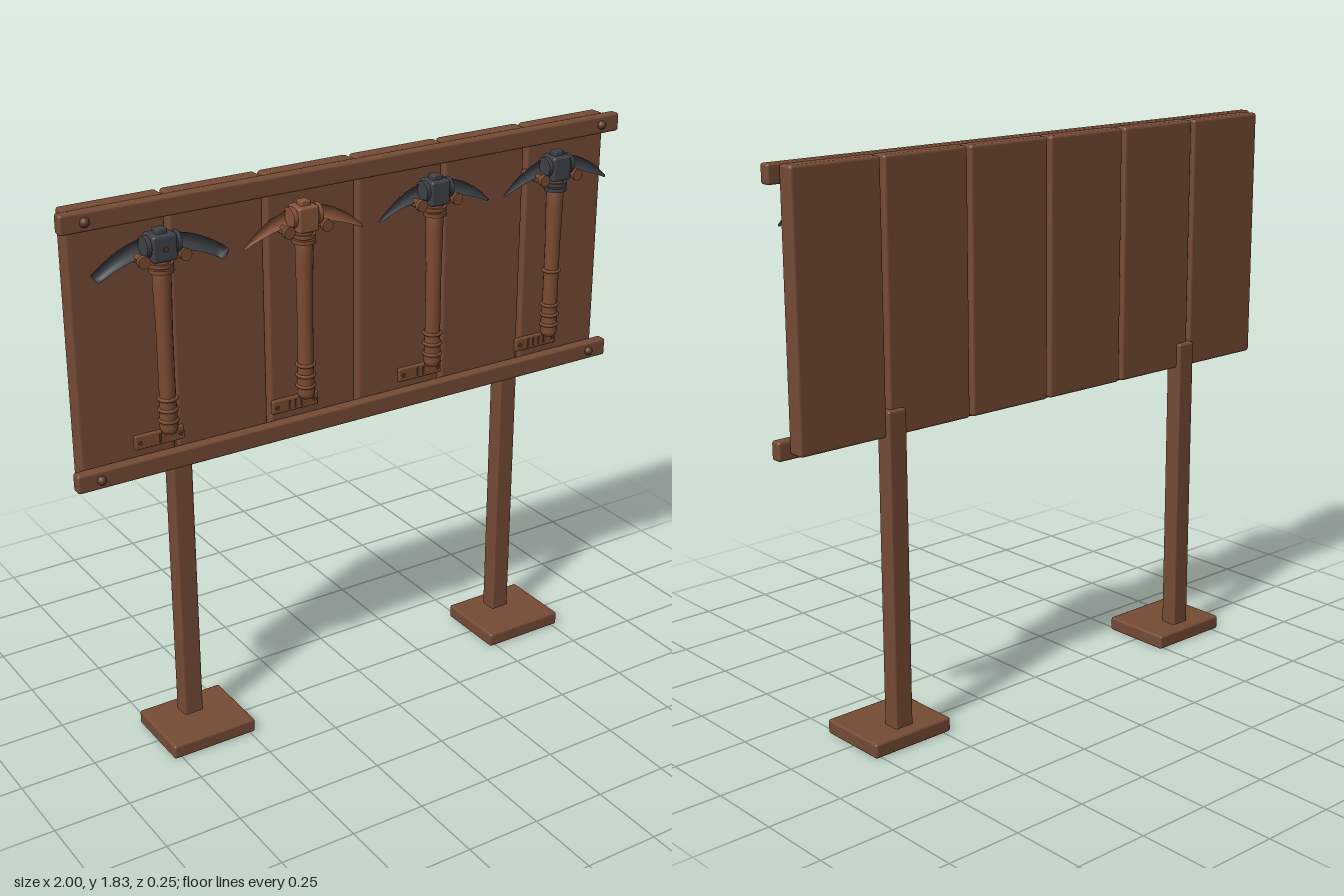
import * as THREE from 'three';
import { RoundedBoxGeometry } from 'three/addons/geometries/RoundedBoxGeometry.js';

const mat = (name, color) => {
  const m = new THREE.MeshStandardMaterial({ color });
  m.name = name;
  return m;
};

export function createModel() {
  const wood = mat('board wood', 0x754b36);
  const handleWood = mat('handle wood', 0x7a4a32);
  const copper = mat('copper brown', 0x87533a);
  const steel = mat('dark steel', 0x3e4147);
  const bolt = mat('bolt brown', 0x5c3b2b);

  const root = new THREE.Group();
  root.name = 'toolRack';

  const add = (parent, name, geo, material, x = 0, y = 0, z = 0) => {
    const m = new THREE.Mesh(geo, material);
    m.name = name;
    m.position.set(x, y, z);
    parent.add(m);
    return m;
  };
  // Softly bevelled box
  const box = (w, h, d, r = 0.008) => new RoundedBoxGeometry(w, h, d, 2, r);
  // Cylinder lying along z
  const pin = (r, len, sides = 12) => new THREE.CylinderGeometry(r, r, len, sides).rotateX(Math.PI / 2);

  // Six upright planks
  for (let i = 0; i < 6; i++) {
    add(root, 'plank', box(0.313, 0.84, 0.058, 0.01), wood, (i - 2.5) * 0.3245 - 0.003, 1.41, -0.034);
  }

  // Top and bottom rails with a domed bolt at each end
  for (const y of [1.802, 1.002]) {
    add(root, 'rail', box(2, 0.06, 0.038), wood, 0, y, 0.014);
    for (const s of [-1, 1]) {
      add(root, 'railBolt', new THREE.SphereGeometry(0.015, 12, 8), bolt, s * 0.925, y, 0.034);
    }
  }

  // Posts and feet
  for (const s of [-1, 1]) {
    const x = s * 0.626 - 0.003;
    add(root, 'post', box(0.068, 1.04, 0.06), wood, x, 0.555, -0.049);
    add(root, 'foot', box(0.295, 0.048, 0.25), wood, x, 0.024, 0);
  }

  // Curved, tapering pick head swept along x as one closed loop body
  const pickHead = (half, drop, hCenter, hTip, dCenter, dTip) => {
    const n = 24, sides = 10, pos = [], idx = [];
    for (let i = 0; i <= n; i++) {
      const u = (i / n) * 2 - 1, a = Math.abs(u);
      const h = THREE.MathUtils.lerp(hCenter, hTip, a * a);
      const d = THREE.MathUtils.lerp(dCenter, dTip, a);
      const slope = Math.atan(-2 * u * drop / half);
      for (let j = 0; j < sides; j++) {
        const t = (j / sides) * Math.PI * 2;
        const c = Math.cos(t) * h;
        pos.push(u * half - Math.sin(slope) * c, -drop * u * u + Math.cos(slope) * c, Math.sin(t) * d);
      }
    }
    for (let i = 0; i < n; i++) {
      for (let j = 0; j < sides; j++) {
        const k = (j + 1) % sides;
        const a = i * sides + j, b = i * sides + k, c = a + sides, d = b + sides;
        idx.push(a, c, b, b, c, d);
      }
    }
    for (let j = 1; j < sides - 1; j++) {
      const e = n * sides;
      idx.push(0, j, j + 1, e, e + j + 1, e + j);
    }
    const g = new THREE.BufferGeometry();
    g.setAttribute('position', new THREE.Float32BufferAttribute(pos, 3));
    g.setIndex(idx);
    g.computeVertexNormals();
    return g;
  };

  // Four pickaxes, each on two pegs above a marked plate
  const picks = [
    { x: -0.715, head: steel, block: 0.078, heavy: true, ticks: 1 },
    { x: -0.24, head: copper, block: 0.07, heavy: false, ticks: 3 },
    { x: 0.235, head: steel, block: 0.07, heavy: false, ticks: 2 },
    { x: 0.711, head: steel, block: 0.07, heavy: false, ticks: 4 },
  ];
  picks.forEach((p, index) => {
    const g = new THREE.Group();
    g.name = 'pickaxe';
    g.position.set(p.x, 0, 0.073);
    root.add(g);

    // Handle with a gentle swell
    const profile = [[0, 1.125], [0.024, 1.125], [0.028, 1.14], [0.025, 1.25], [0.025, 1.45], [0.028, 1.58], [0.028, 1.70], [0, 1.70]];
    add(g, 'handle', new THREE.LatheGeometry(profile.map(([r, y]) => new THREE.Vector2(r, y)), 16), handleWood);

    // Grip bands and collar rings
    const bands = [1.165, 1.2, 1.235];
    if (index === 3) bands.push(1.355);
    for (const y of bands) {
      add(g, 'gripBand', new THREE.TorusGeometry(0.027, 0.006, 6, 18).rotateX(Math.PI / 2), handleWood, 0, y);
    }
    for (const y of [1.635, 1.652]) {
      add(g, 'collar', new THREE.CylinderGeometry(0.037, 0.037, 0.012, 16), index === 3 ? steel : handleWood, 0, y);
    }

    // Head: swept arms, socket block, side flanges and top cap
    const arms = p.heavy
      ? pickHead(0.208, 0.072, 0.027, 0.018, 0.036, 0.014)
      : pickHead(0.206, 0.075, 0.027, 0.004, 0.03, 0.003);
    add(g, 'pickArms', arms, p.head, 0, 1.716);
    add(g, 'socketBlock', box(p.block, 0.08, 0.07), p.head, 0, 1.706);
    for (const s of [-1, 1]) {
      add(g, 'socketFlange', new THREE.CylinderGeometry(0.033, 0.033, 0.014, 14).rotateZ(Math.PI / 2), p.head, s * (p.block / 2 + 0.009), 1.712);
    }
    add(g, 'topCap', box(0.034, 0.022, 0.034, 0.004), p.head, 0, 1.75);
    if (p.heavy) add(g, 'socketRivet', pin(0.008, 0.008), bolt, 0, 1.706, 0.036);

    // Supporting pegs
    for (const s of [-1, 1]) {
      add(root, 'peg', pin(0.014, 0.105), handleWood, p.x + s * 0.066, 1.676, 0.046);
      add(root, 'pegTip', pin(0.019, 0.016), handleWood, p.x + s * 0.066, 1.676, 0.097);
    }

    // Plate with rivets and tally bars
    add(root, 'plate', box(0.165, 0.045, 0.016, 0.004), handleWood, p.x, 1.078, 0.002);
    for (const s of [-1, 1]) {
      add(root, 'plateRivet', pin(0.006, 0.008, 10), bolt, p.x + s * 0.068, 1.078, 0.012);
    }
    for (let i = 0; i < p.ticks; i++) {
      add(root, 'tallyBar', new THREE.BoxGeometry(0.007, 0.028, 0.005), bolt, p.x + (i - (p.ticks - 1) / 2) * 0.022, 1.078, 0.011);
    }
  });

  return root;
}
